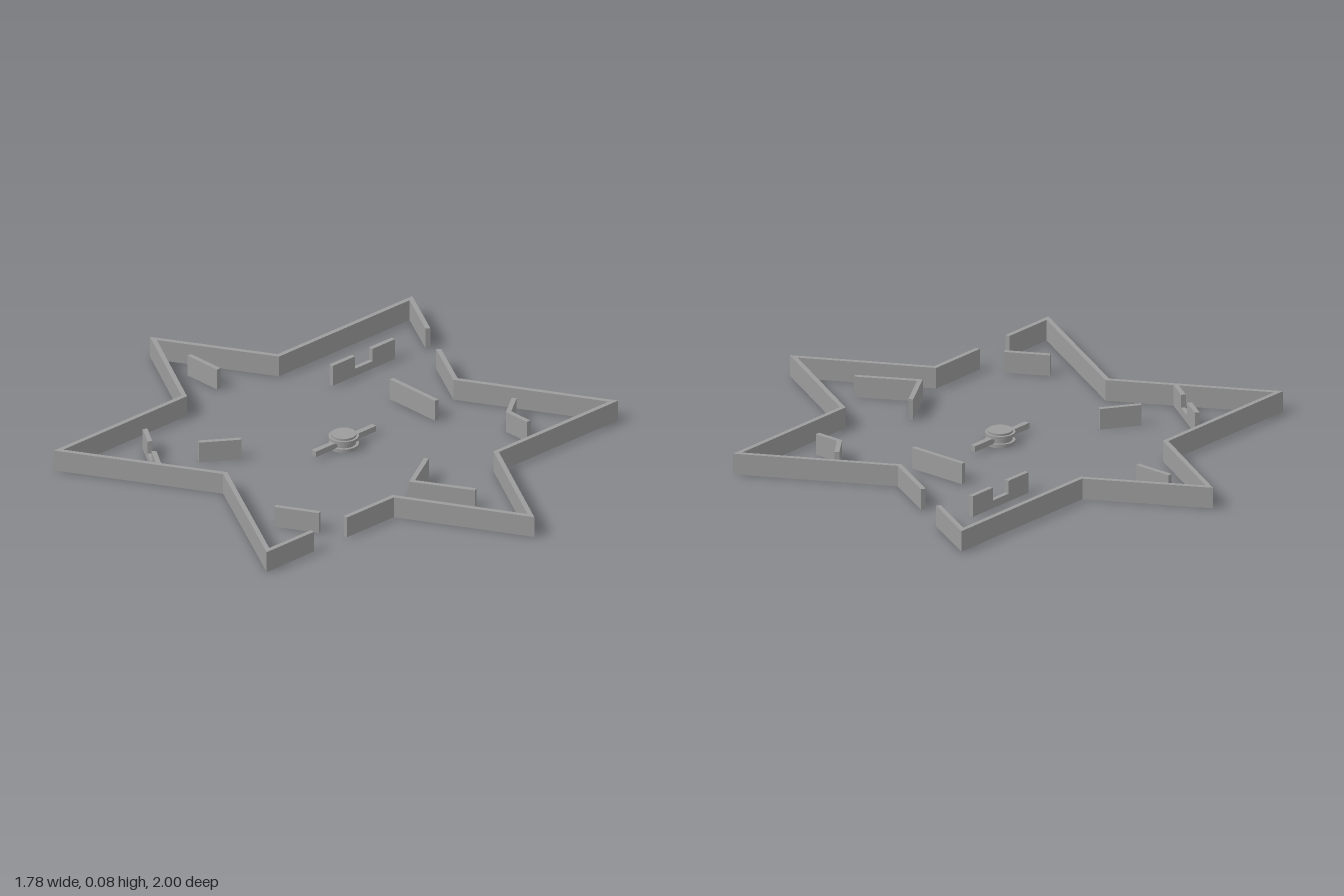
import * as THREE from 'three';

const H = 0.08;   // wall height
const T = 0.018;  // wall thickness
const material = new THREE.MeshStandardMaterial({ color: 0x9c9c9c });

function mesh(name, geometry) {
  const m = new THREE.Mesh(geometry, material);
  m.name = name;
  return m;
}

// Upright wall following an open [x, z] path, with mitred corners
function wall(name, path) {
  const p = path.map(([x, z]) => new THREE.Vector2(x, z));
  const left = [], right = [];
  const normal = (from, to) => {
    const d = to.clone().sub(from).normalize();
    return new THREE.Vector2(-d.y, d.x);
  };
  p.forEach((pt, i) => {
    const n1 = i > 0 ? normal(p[i - 1], pt) : normal(pt, p[1]);
    const n2 = i < p.length - 1 ? normal(pt, p[i + 1]) : n1;
    const miter = n1.clone().add(n2).normalize();
    miter.multiplyScalar(T / 2 / miter.dot(n1));
    left.push(pt.clone().add(miter));
    right.unshift(pt.clone().sub(miter));
  });
  const geo = new THREE.ExtrudeGeometry(new THREE.Shape([...left, ...right]), { depth: H, bevelEnabled: false });
  geo.rotateX(Math.PI / 2).translate(0, H, 0);
  return mesh(name, geo);
}

// Straight wall with a square notch cut down from the middle of its top
function notchedWall(name, [x1, z1], [x2, z2]) {
  const len = Math.hypot(x2 - x1, z2 - z1), a = len * 0.36, b = len * 0.64, low = 0.03;
  const profile = [[0, 0], [len, 0], [len, H], [b, H], [b, low], [a, low], [a, H], [0, H]];
  const shape = new THREE.Shape(profile.map(([x, y]) => new THREE.Vector2(x, y)));
  const geo = new THREE.ExtrudeGeometry(shape, { depth: T, bevelEnabled: false }).translate(0, 0, -T / 2);
  const m = mesh(name, geo);
  m.position.set(x1, 0, z1);
  m.rotation.y = -Math.atan2(z2 - z1, x2 - x1);
  return m;
}

export function createModel() {
  const model = new THREE.Group();
  model.name = 'starArena';

  // Star-shaped boundary with two gateways
  model.add(wall('starWallFront', [
    [0.672, -0.21], [0.552, 0.005], [0.844, 0.525], [0.26, 0.525], [0.001, 0.98], [-0.253, 0.525], [-0.49, 0.525],
  ]));
  model.add(wall('starWallBack', [
    [-0.655, 0.525], [-0.876, 0.525], [-0.566, -0.025], [-0.876, -0.572], [-0.25, -0.572],
    [-0.016, -0.98], [0.218, -0.572], [0.878, -0.572], [0.757, -0.355],
  ]));

  // Free-standing walls inside the star
  const barriers = [
    [[-0.012, -0.797], [-0.012, -0.642]],
    [[-0.463, -0.273], [-0.335, -0.185]],
    [[0.387, -0.157], [0.387, 0.08]],
    [[0.602, 0.26], [0.512, 0.325], [0.512, 0.43]],
    [[-0.615, 0.288], [-0.533, 0.435]],
    [[0.042, 0.389], [-0.12, 0.484], [0, 0.691]],
  ];
  barriers.forEach((path, i) => model.add(wall('barrier' + (i + 1), path)));
  model.add(notchedWall('notchedBarrierRear', [0.302, -0.384], [0.611, -0.384]));
  model.add(notchedWall('notchedBarrierSide', [-0.687, -0.246], [-0.533, -0.48]));

  // Central hub: stacked discs with a crossbar
  const hub = new THREE.Group();
  hub.name = 'hub';
  const discs = [['hubBase', 0.055, 0, 0.014], ['hubNeck', 0.045, 0.014, 0.032],
    ['hubTop', 0.055, 0.032, 0.044], ['hubCap', 0.046, 0.044, 0.052]];
  for (const [name, r, y0, y1] of discs) {
    const disc = mesh(name, new THREE.CylinderGeometry(r, r, y1 - y0, 32));
    disc.position.y = (y0 + y1) / 2;
    hub.add(disc);
  }
  const bar = mesh('crossbar', new THREE.BoxGeometry(0.3, 0.022, 0.022));
  bar.position.set(0, 0.023, 0.001);
  hub.add(bar);
  model.add(hub);

  return model;
}
